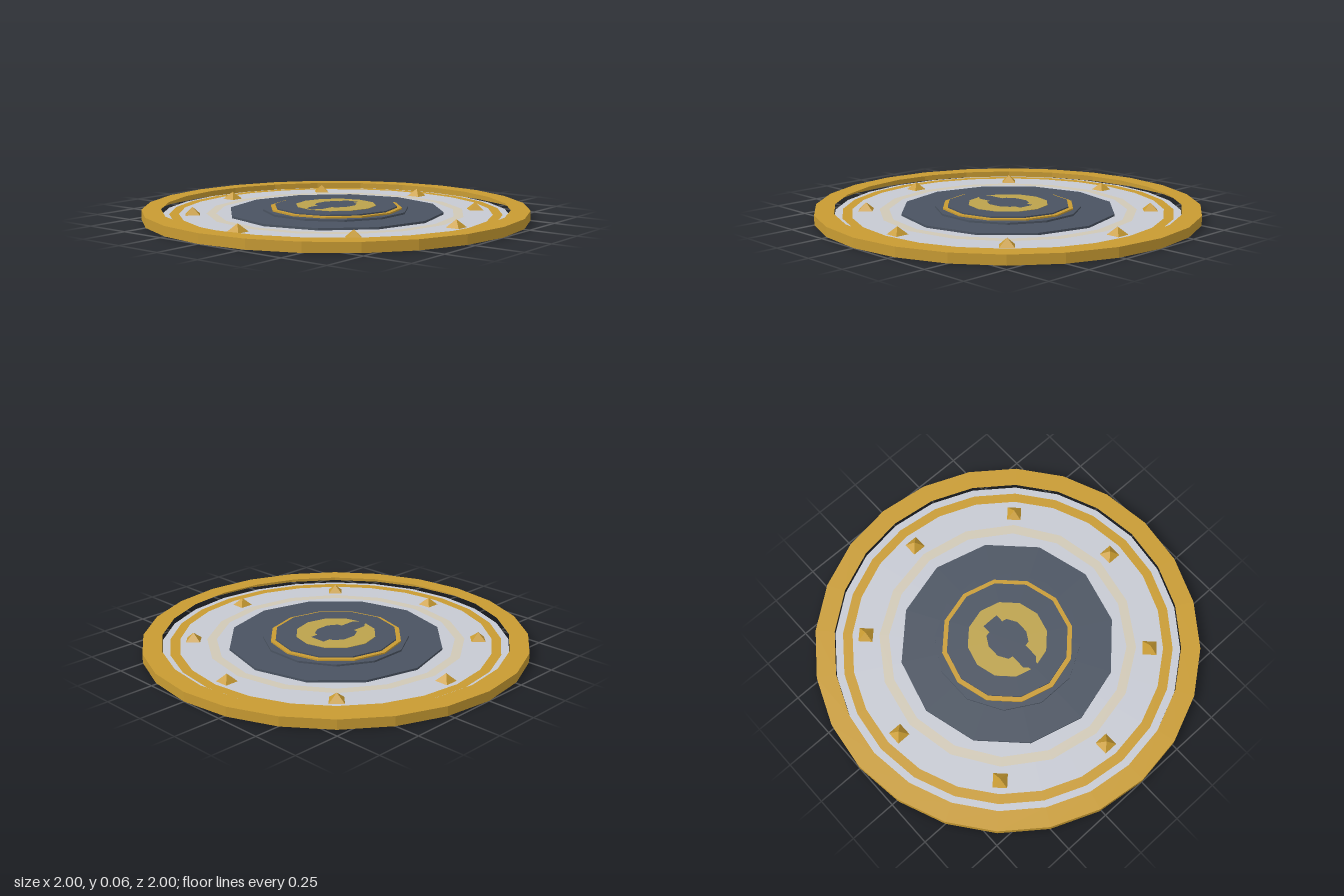
import * as THREE from 'three';

const make = (name, color) => new THREE.MeshStandardMaterial({ name, color, flatShading: true, side: THREE.DoubleSide });

export function createModel() {
  const gold = make('gold', 0xc89b32);
  const silver = make('silver', 0xc6c9d2);
  const slate = make('slate', 0x4a5361);
  const sand = make('sand', 0xd0c8b6);
  const brass = make('brass', 0xbca24c);

  const model = new THREE.Group();
  model.name = 'roundPlatform';

  const add = (name, geometry, material, y = 0) => {
    const mesh = new THREE.Mesh(geometry, material);
    mesh.name = name;
    mesh.position.y = y;
    model.add(mesh);
    return mesh;
  };
  // Flat band and solid disc, both given by the height of their top
  const band = (name, inner, outer, sides, y, material) =>
    add(name, new THREE.RingGeometry(inner, outer, sides).rotateX(-Math.PI / 2), material, y);
  const disc = (name, radius, sides, bottom, top, material) =>
    add(name, new THREE.CylinderGeometry(radius, radius, top - bottom, sides), material, (top + bottom) / 2);

  // Outer rim: open wall with a flat lip, hollow underneath
  add('rimWall', new THREE.CylinderGeometry(1, 1, 0.05, 24, 1, true), gold, 0.025);
  band('rimLip', 0.9, 1, 24, 0.05, gold);

  // Floor plate and its inlaid bands
  add('floorPlate', new THREE.CircleGeometry(0.9, 24).rotateX(-Math.PI / 2), silver, 0.02);
  band('goldBand', 0.81, 0.86, 24, 0.025, gold);
  band('sandBand', 0.62, 0.67, 16, 0.024, sand);

  // Stepped centre
  disc('centreBase', 0.56, 12, 0.021, 0.032, slate);
  disc('centreStep', 0.38, 12, 0.032, 0.042, slate).rotation.y = Math.PI / 12;
  disc('centreTrim', 0.345, 12, 0.042, 0.05, gold);
  disc('centreTop', 0.32, 12, 0.05, 0.057, slate);
  disc('medallion', 0.21, 12, 0.057, 0.059, brass);

  // Dark keyhole inlay, outlined on one side and mirrored
  const half = [[0.045, -0.135], [0.045, -0.09], [0.07, -0.085], [0.1, -0.035], [0.1, 0.035],
    [0.07, 0.085], [0.045, 0.09], [0.045, 0.17], [0.025, 0.19], [0.02, 0.212]];
  const outline = [...half, ...half.map(([x, z]) => [-x, z]).reverse()];
  const shape = new THREE.Shape(outline.map(([x, z]) => new THREE.Vector2(x, -z)));
  add('keyholeInlay', new THREE.ShapeGeometry(shape).rotateX(-Math.PI / 2), slate, 0.061);

  // Eight pyramid studs, square to the radius
  for (let i = 0; i < 8; i++) {
    const angle = (i * Math.PI) / 4;
    const geometry = new THREE.ConeGeometry(0.052, 0.04, 4).rotateY(Math.PI / 4);
    const stud = add('stud' + (i + 1), geometry, gold, 0.04);
    stud.position.x = Math.sin(angle) * 0.74;
    stud.position.z = Math.cos(angle) * 0.74;
    stud.rotation.y = angle;
  }
  return model;
}
